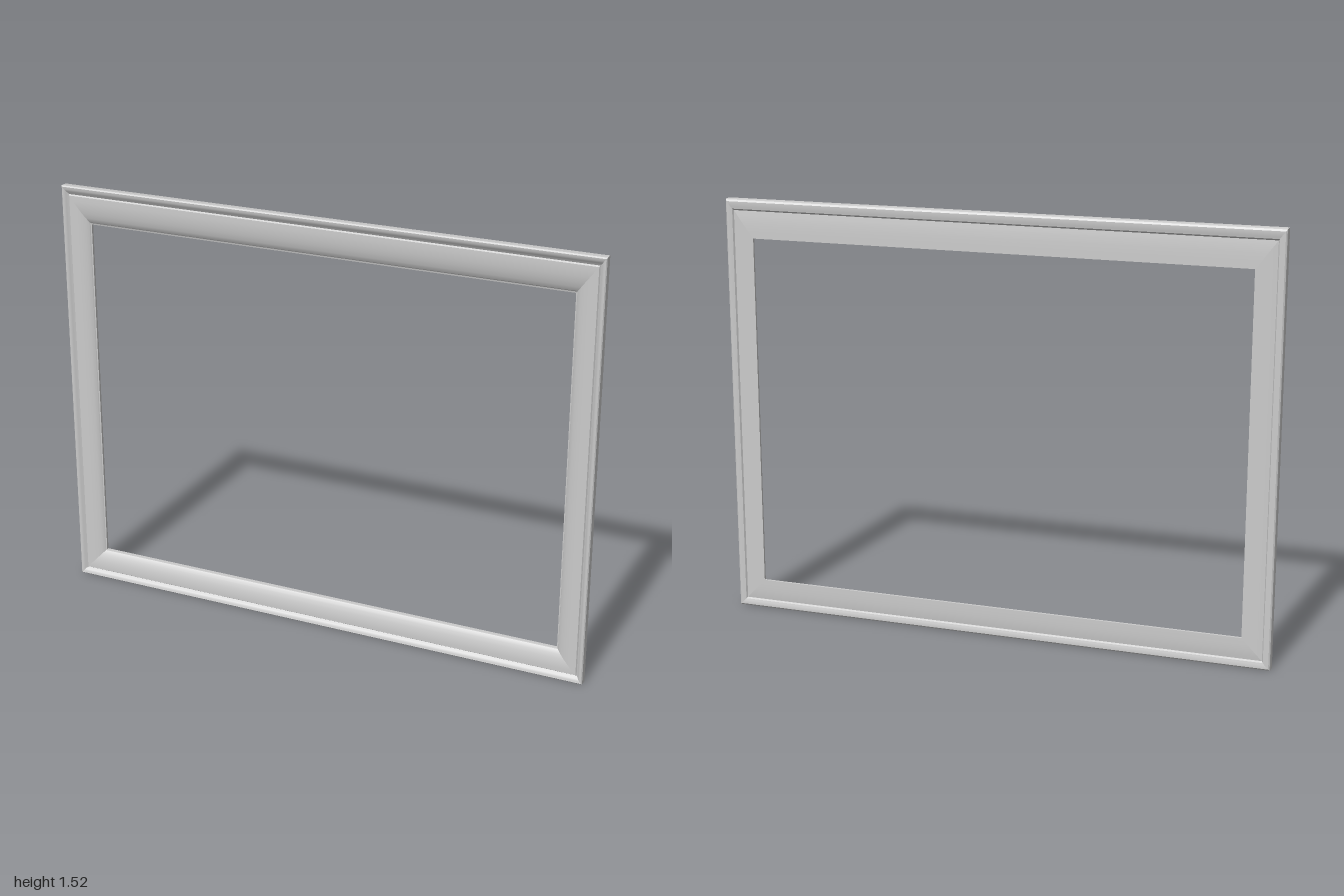
import * as THREE from 'three';
import { toCreasedNormals } from 'three/addons/utils/BufferGeometryUtils.js';

// Moulding section: [fraction of rail width from outer to inner edge, depth z]
const PROFILE = [
  [0, 0.016], [0.03, 0.02], [0.09, 0.019], [0.15, 0.015], [0.2, 0.009], // sloping rim
  [0.23, 0.007], [0.26, 0.012],                                          // groove
  [0.4, 0.0125], [0.55, 0.011], [0.7, 0.008], [0.83, 0.003], [0.94, -0.003], // curved face
  [0.96, -0.006], [1, -0.007], [1, -0.016],                              // inner lip
  [0.8, -0.016], [0.6, -0.0155], [0.42, -0.014], [0.29, -0.012],         // hollow back
  [0.25, -0.018], [0.2, -0.02], [0.06, -0.02], [0.015, -0.016], [0, -0.01], // back rim
];
const HEIGHT = 1.525;
const SIDE = 0.103, BOTTOM = 0.108, TOP = 0.137; // rail widths

// Mitre corners, counter-clockwise from the front
const CORNERS = [[1, 0], [1, 1], [-1, 1], [-1, 0]];

function cornerPoint(k, j) {
  const [sx, upper] = CORNERS[k % 4];
  const [u, z] = PROFILE[j % PROFILE.length];
  return [sx * (1 - u * SIDE), upper ? HEIGHT - u * TOP : u * BOTTOM, z];
}

// One mitred rail: the section stretched between two corners
function railGeometry(k) {
  const positions = [];
  for (let j = 0; j < PROFILE.length; j++) {
    const a = cornerPoint(k, j), b = cornerPoint(k + 1, j);
    const c = cornerPoint(k + 1, j + 1), d = cornerPoint(k, j + 1);
    positions.push(...a, ...b, ...c, ...a, ...c, ...d);
  }
  const geometry = new THREE.BufferGeometry();
  geometry.setAttribute('position', new THREE.Float32BufferAttribute(positions, 3));
  return toCreasedNormals(geometry, 0.5);
}

export function createModel() {
  const group = new THREE.Group();
  group.name = 'pictureFrame';
  const material = new THREE.MeshStandardMaterial({ color: 0xcccccc });
  ['leftRail', 'topRail', 'rightRail', 'bottomRail'].forEach((name, k) => {
    const rail = new THREE.Mesh(railGeometry(k), material);
    rail.name = name;
    group.add(rail);
  });
  return group;
}
